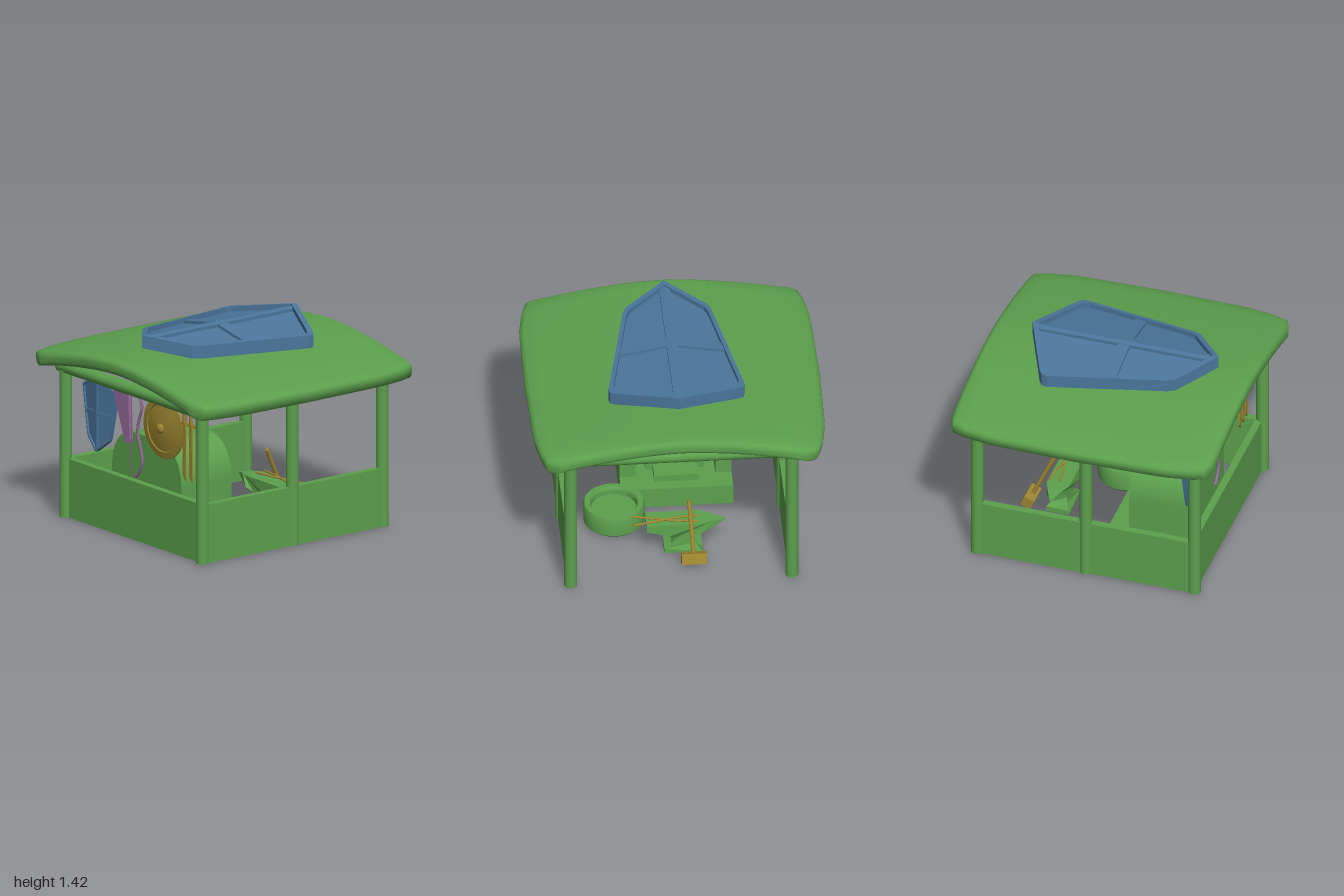
import * as THREE from 'three';
import { toCreasedNormals } from 'three/addons/utils/BufferGeometryUtils.js';

const mat = (color) => new THREE.MeshStandardMaterial({ color, side: THREE.DoubleSide });

export function createModel() {
  const green = mat(0x5ca04d), blue = mat(0x4b769c), gold = mat(0x9c8530), purple = mat(0x966a9c);
  const root = new THREE.Group();

  const add = (name, geo, material, x = 0, y = 0, z = 0, parent = root) => {
    const m = new THREE.Mesh(geo, material);
    m.name = name;
    m.position.set(x, y, z);
    parent.add(m);
    return m;
  };
  const box = (name, w, h, d, x, y, z, material = green, parent = root) =>
    add(name, new THREE.BoxGeometry(w, h, d), material, x, y, z, parent);
  const rod = (name, r, len, x, y, z, material = green, parent = root) =>
    add(name, new THREE.CylinderGeometry(r, r, len, 20), material, x, y, z, parent);
  const poly = (pts) => new THREE.Shape(pts.map(([x, y]) => new THREE.Vector2(x, y)));
  const extrude = (shape, depth, opts = {}) =>
    new THREE.ExtrudeGeometry(shape, { depth, bevelEnabled: false, curveSegments: 16, ...opts });
  // moves every vertex by a rule, then rebuilds the normals
  const deform = (geo, rule, crease = 0.6) => {
    const p = geo.attributes.position, v = new THREE.Vector3();
    for (let i = 0; i < p.count; i++) {
      rule(v.fromBufferAttribute(p, i));
      p.setXYZ(i, v.x, v.y, v.z);
    }
    return toCreasedNormals(geo, crease);
  };

  // frame: posts, beams, low walls on three sides
  for (const x of [-0.75, 0.75]) {
    for (const z of [-0.77, 0, 0.77]) rod('post', 0.043, 1.03, x, 0.515, z);
    rod('sideBeam', 0.043, 1.62, x, 1.05, 0).rotation.x = Math.PI / 2;
    box('sideWall', 0.05, 0.41, 1.5, x, 0.205, 0);
  }
  for (const z of [-0.77, 0.77]) rod('crossBeam', 0.045, 1.62, 0, 1.05, z).rotation.z = Math.PI / 2;
  box('frontWall', 1.46, 0.41, 0.05, 0, 0.205, 0.75);

  // curved roof with soft edges and trimmed corners
  const roofY = (x) => 1.27 - 0.125 * Math.pow(Math.abs(x), 1.7);
  const band = [];
  for (let i = 0; i <= 24; i++) { const x = -0.97 + i * 1.94 / 24; band.push([x, roofY(x)]); }
  band.push([0.995, 1.135], [1.0, 1.11], [0.99, 1.065], [0.97, 1.05]);
  for (let i = 1; i < 24; i++) { const x = 0.97 - i * 1.94 / 24; band.push([x, roofY(x) - 0.1]); }
  band.push([-0.97, 1.05], [-0.99, 1.065], [-1.0, 1.11], [-0.995, 1.135]);
  const roof = extrude(poly(band.reverse()), 1.78, {
    steps: 20, bevelEnabled: true, bevelThickness: 0.04, bevelSize: 0.035, bevelOffset: -0.035, bevelSegments: 4,
  });
  roof.translate(0, 0, -0.89);
  add('roof', deform(roof, (v) => {
    const z = Math.abs(v.z);
    const lim = z < 0.6 ? 1 - 0.012 * z / 0.6
      : z < 0.88 ? 0.988 - 0.045 * (z - 0.6) / 0.28 : 0.943 - 0.09 * (z - 0.88) / 0.05;
    v.x *= lim;
  }, 0.8), green);

  // shield: two mirrored halves, each with rim, panel and cross bars, folded along the middle
  const outline = [[0, -0.62], [0.42, -0.435], [0.455, -0.41], [0.46, -0.37], [0.3, 0.43], [0.275, 0.485], [0, 0.7]];
  const inner = outline.map(([x, z]) => [x * 0.92, z * 0.935]);
  const shieldPiece = (pts, height) => deform(
    extrude(poly(pts), height).rotateX(Math.PI / 2).translate(0, height, 0),
    (v) => { v.y -= 0.18 * v.x; }, 0.3);
  const makeShield = (name) => {
    const g = new THREE.Group();
    g.name = name;
    for (const s of [1, -1]) {
      const half = new THREE.Group();
      half.name = 'shieldHalf';
      half.scale.x = s;
      add('rim', shieldPiece([...outline, ...inner.slice().reverse()], 0.09), blue, 0, 0, 0, half);
      add('panel', shieldPiece(inner, 0.055), blue, 0, 0, 0, half);
      add('longBar', shieldPiece([[0, -0.58], [0.035, -0.56], [0.035, 0.62], [0, 0.65]], 0.078), blue, 0, 0, 0, half);
      add('crossBar', shieldPiece([[0, 0], [0.365, 0], [0.35, 0.08], [0, 0.08]], 0.075), blue, 0, 0, 0, half);
      g.add(half);
    }
    root.add(g);
    return g;
  };
  makeShield('roofShield').position.set(0, 1.33, 0);
  const hung = makeShield('hangingShield');
  hung.scale.setScalar(0.395);
  hung.rotation.x = Math.PI / 2;
  hung.position.set(-0.495, 0.775, 0.68);

  // round shield with raised rim and boss
  const disc = [[0, 0], [0.215, 0], [0.215, 0.012], [0.168, 0.02], [0.162, 0.014], [0.1, 0.027], [0.034, 0.032],
    [0.03, 0.045], [0.017, 0.055], [0, 0.058]].map(([r, y]) => new THREE.Vector2(r, y));
  add('roundShield', toCreasedNormals(new THREE.LatheGeometry(disc, 48), 0.5), gold, 0.225, 0.82, 0.685)
    .rotation.x = Math.PI / 2;

  // three hanging swords
  const blade = poly([[-0.015, 0.4], [-0.015, 0.04], [0.012, 0], [0.018, 0.03], [0.014, 0.4]]);
  for (const x of [0.465, 0.535, 0.605]) {
    const sword = new THREE.Group();
    sword.name = 'sword';
    sword.position.set(x, 0.505, 0.7);
    add('blade', extrude(blade, 0.01), gold, 0, 0, -0.005, sword);
    box('guard', 0.044, 0.018, 0.026, 0, 0.4, 0, gold, sword);
    rod('grip', 0.012, 0.13, 0, 0.465, 0, gold, sword);
    root.add(sword);
  }

  // tapered quiver, wavy bow and its string
  add('quiver', extrude(poly([[-0.33, 1.04], [-0.18, 0.64], [-0.165, 0.628], [-0.13, 0.64], [-0.125, 0.66], [-0.145, 1.04]]), 0.03),
    purple, 0, 0, 0.68);
  const bow = new THREE.CatmullRomCurve3([[-0.06, 1.04], [-0.01, 0.95], [-0.005, 0.9], [-0.035, 0.82], [-0.05, 0.73],
    [-0.015, 0.62], [0, 0.53], [-0.03, 0.46], [-0.075, 0.41]].map(([x, y]) => new THREE.Vector3(x, y, 0.7)));
  add('bow', new THREE.TubeGeometry(bow, 48, 0.01, 8), purple);
  rod('bowString', 0.002, 0.63, -0.118, 0.725, 0.7, purple);

  // forge: low hearth, arched hood open to the back, closed to the front
  const arch = (x0, x1, y0, y1, r) => {
    const s = new THREE.Shape();
    s.moveTo(x0, y0);
    s.lineTo(x1, y0);
    s.lineTo(x1, y1 - r * 1.15);
    s.bezierCurveTo(x1, y1 - r * 0.4, x1 - r * 0.5, y1, x1 - r, y1);
    s.lineTo(x0 + r, y1);
    s.bezierCurveTo(x0 + r * 0.5, y1, x0, y1 - r * 0.4, x0, y1 - r * 1.15);
    return s;
  };
  box('hearth', 0.76, 0.15, 0.58, -0.04, 0.075, 0.34);
  const hood = arch(-0.42, 0.34, 0, 0.69, 0.24);
  hood.holes.push(arch(-0.31, 0.23, 0.15, 0.57, 0.17));
  add('hood', toCreasedNormals(extrude(hood, 0.38), 0.5), green, 0, 0, 0.2);
  add('hoodWall', toCreasedNormals(extrude(arch(-0.42, 0.34, 0, 0.69, 0.24), 0.05), 0.5), green, 0, 0, 0.58);
  box('coalBed', 0.4, 0.08, 0.3, -0.04, 0.19, 0.42);
  box('hearthStep', 0.3, 0.05, 0.14, -0.04, 0.175, 0.2);

  // water tub
  const tub = [[0, 0], [0.19, 0], [0.205, 0.015], [0.21, 0.13], [0.2, 0.155], [0.165, 0.155], [0.155, 0.14], [0.155, 0.1], [0, 0.1]]
    .map(([r, y]) => new THREE.Vector2(r, y));
  add('waterTub', toCreasedNormals(new THREE.LatheGeometry(tub, 40), 0.6), green, 0.4, 0, -0.07);

  // anvil with horn towards -x, narrowed at waist and horn
  const anvil = poly([[-0.13, 0], [0.13, 0], [0.13, 0.035], [0.08, 0.06], [0.06, 0.1], [0.09, 0.14], [0.25, 0.18],
    [0.25, 0.23], [-0.12, 0.23], [-0.2, 0.225], [-0.29, 0.21], [-0.2, 0.17], [-0.12, 0.15], [-0.07, 0.12],
    [-0.06, 0.09], [-0.08, 0.06], [-0.13, 0.035]]);
  add('anvil', deform(extrude(anvil, 0.16).translate(0, 0, -0.08), (v) => {
    if (v.x < -0.13 && v.y > 0.1) v.z *= 0.1 + 0.8 * (v.x + 0.29) / 0.16;
    else if (v.y > 0.05 && v.y < 0.13) v.z *= 0.65;
  }, 0.4), green, -0.04, 0, -0.39);

  // a bar between two points
  const bar = (name, a, b, r, parent = root) => {
    const p = new THREE.Vector3(...a), q = new THREE.Vector3(...b), dir = q.clone().sub(p);
    const m = rod(name, r, dir.length(), ...p.clone().add(q).multiplyScalar(0.5).toArray(), gold, parent);
    m.quaternion.setFromUnitVectors(new THREE.Vector3(0, 1, 0), dir.normalize());
  };

  // hammer leaning on the anvil
  box('hammerHead', 0.17, 0.075, 0.075, -0.1, 0.045, -0.6, gold).rotation.x = 0.43;
  bar('hammerHandle', [-0.1, 0.04, -0.6], [-0.08, 0.41, -0.43], 0.014);

  // tongs lying across the anvil
  for (const s of [1, -1]) {
    bar('tongsArm', [0.3, 0.245, -0.42 + s * 0.05], [0.02, 0.245, -0.42 - s * 0.015], 0.007);
    bar('tongsJaw', [0.02, 0.245, -0.42 - s * 0.015], [-0.14, 0.245, -0.42 - s * 0.035], 0.007);
  }
  return root;
}
